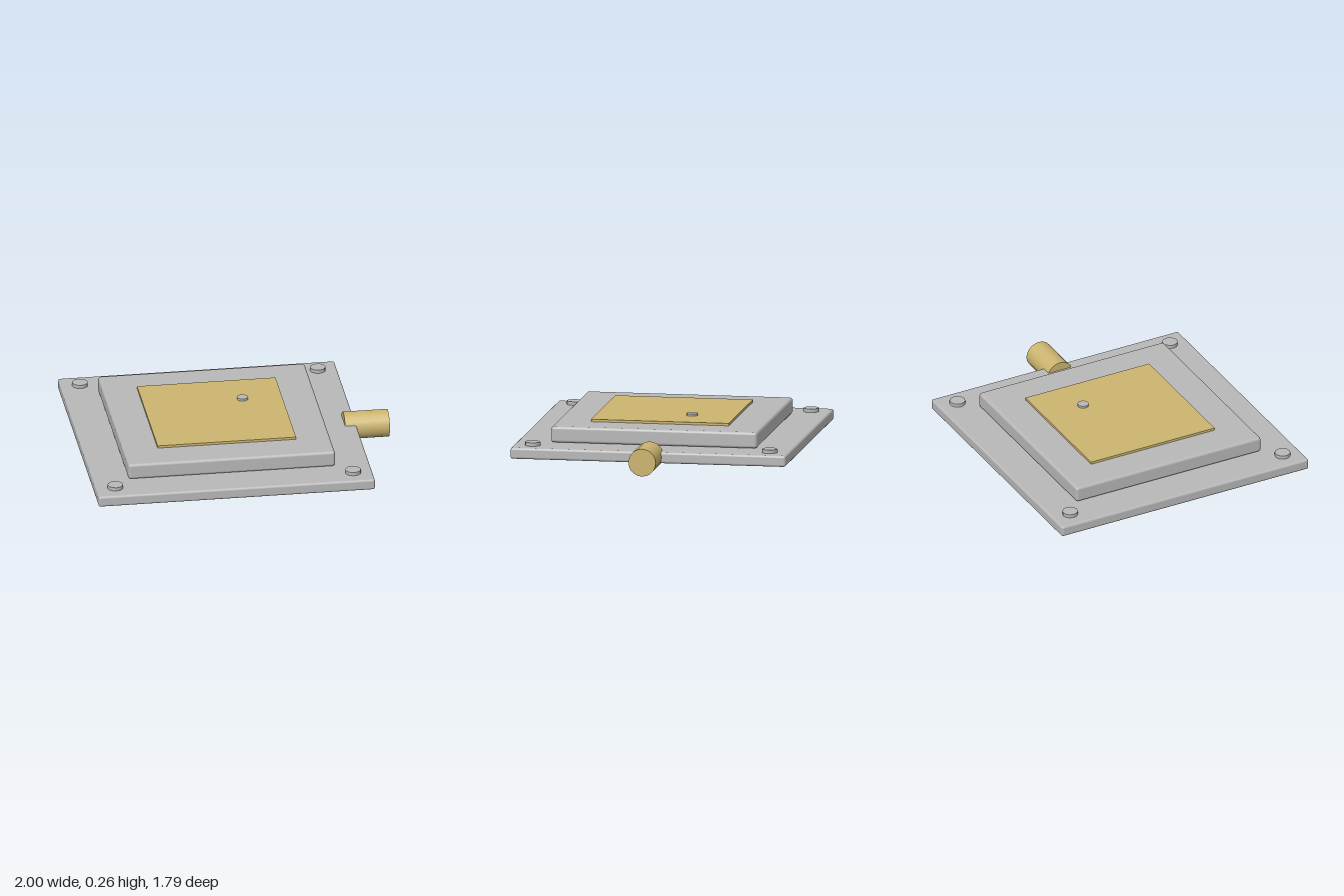
import * as THREE from 'three';
import { RoundedBoxGeometry } from 'three/addons/geometries/RoundedBoxGeometry.js';

export function createModel() {
  const model = new THREE.Group();
  model.name = 'patchAntenna';
  const silver = new THREE.MeshStandardMaterial({ color: 0xb8b8b8 });
  silver.name = 'silver';
  const gold = new THREE.MeshStandardMaterial({ color: 0xccb570 });
  gold.name = 'gold';
  const cx = -0.107; // centre of the square stack

  function add(name, geometry, material, x, y, z) {
    const mesh = new THREE.Mesh(geometry, material);
    mesh.name = name;
    mesh.position.set(x, y, z);
    model.add(mesh);
    return mesh;
  }

  // Stacked square plates with softened edges
  add('groundPlate', new RoundedBoxGeometry(1.786, 0.072, 1.786, 2, 0.015), silver, cx, 0.086, 0);
  add('substrate', new RoundedBoxGeometry(1.336, 0.104, 1.336, 2, 0.018), silver, cx, 0.176, 0);
  add('patch', new THREE.BoxGeometry(0.894, 0.018, 0.894), gold, cx, 0.235, 0);

  // Feed pin on the patch
  add('feedPin', new THREE.CylinderGeometry(0.036, 0.036, 0.018, 12), silver, 0.085, 0.249, -0.165);

  // Corner screws
  const screw = new THREE.CylinderGeometry(0.05, 0.05, 0.03, 12);
  for (const sx of [-1, 1]) {
    for (const sz of [-1, 1]) {
      add('cornerScrew', screw, silver, cx + sx * 0.768, 0.13, sz * 0.768);
    }
  }

  // Side connector
  const connector = add('connector', new THREE.CylinderGeometry(0.089, 0.089, 0.288, 20), gold, 0.856, 0.089, 0);
  connector.rotation.z = -Math.PI / 2;

  return model;
}
